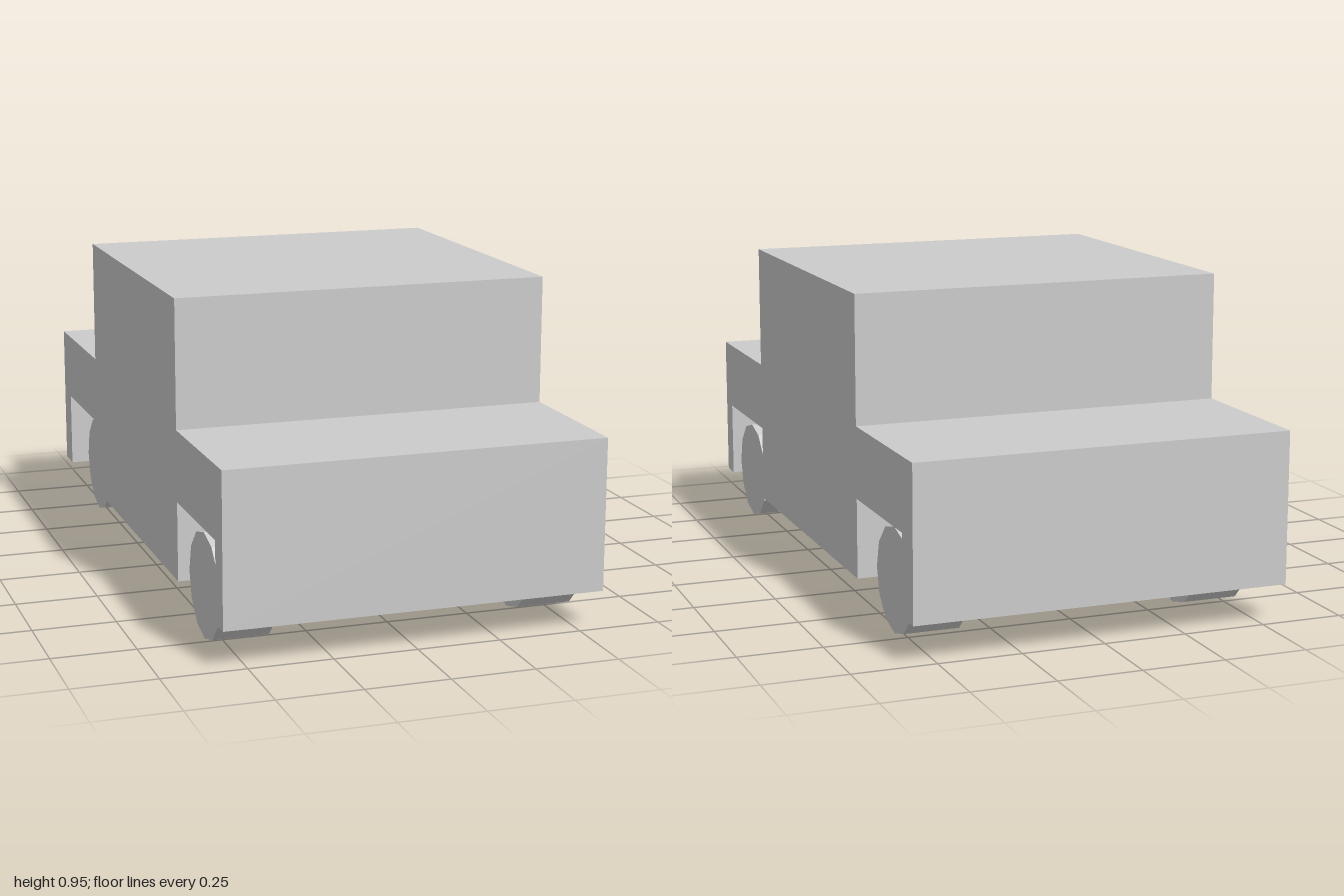
import * as THREE from 'three';

const material = new THREE.MeshStandardMaterial({ color: 0xcccccc, flatShading: true });

// Side outline (z, y) swept across the full width, wheel wells included
function createBody() {
  const halfWidth = 0.57;
  const outline = [
    [1, 0.115], [1, 0.57], [0.53, 0.57], [0.53, 0.955],
    [-0.505, 0.955], [-0.505, 0.57], [-1, 0.57], [-1, 0.115],
    [-0.91, 0.115], [-0.91, 0.355], [-0.505, 0.355], [-0.505, 0.115],
    [0.53, 0.115], [0.53, 0.355], [0.93, 0.355], [0.93, 0.115],
  ];
  const shape = new THREE.Shape(outline.map(([z, y]) => new THREE.Vector2(z, y)));
  const geometry = new THREE.ExtrudeGeometry(shape, { depth: halfWidth * 2, bevelEnabled: false });
  geometry.translate(0, 0, -halfWidth);
  geometry.rotateY(-Math.PI / 2);
  const body = new THREE.Mesh(geometry, material);
  body.name = 'body';
  return body;
}

// Twelve-sided wheel with its axle along x
function createWheel(name, x, y, z) {
  const geometry = new THREE.CylinderGeometry(0.158, 0.158, 0.167, 12);
  geometry.rotateZ(Math.PI / 2);
  const wheel = new THREE.Mesh(geometry, material);
  wheel.name = name;
  wheel.position.set(x, y, z);
  return wheel;
}

export function createModel() {
  const car = new THREE.Group();
  car.name = 'car';
  car.add(createBody());

  // Rear pair sits slightly further in and lower than the front pair
  for (const [side, sign] of [['Left', 1], ['Right', -1]]) {
    car.add(createWheel(`front${side}Wheel`, sign * 0.466, 0.165, 0.74));
    car.add(createWheel(`rear${side}Wheel`, sign * 0.439, 0.159, -0.70));
  }
  return car;
}
